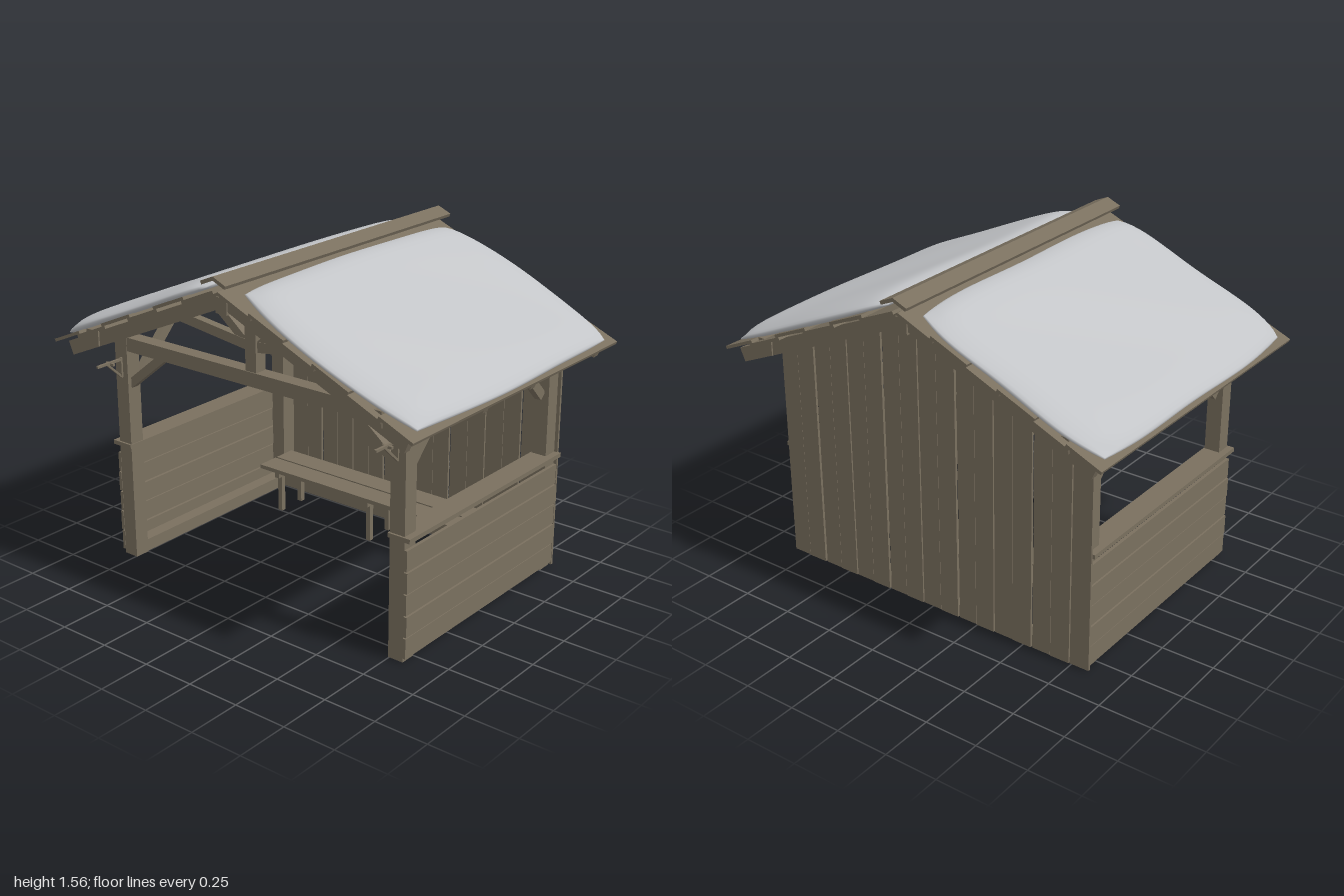
import * as THREE from 'three';
import { mergeVertices } from 'three/addons/utils/BufferGeometryUtils.js';

const mat = (name, color) => {
  const m = new THREE.MeshStandardMaterial({ color });
  m.name = name;
  return m;
};

export function createModel() {
  const wood = mat('weathered wood', 0x7a705f);
  const snow = mat('snow', 0xc3c5c8);
  const model = new THREE.Group();
  const sides = [-1, 1];
  const PITCH = 0.406, RIDGE = 1.515, SLOPE = Math.tan(PITCH);

  // box given by its extents on each axis
  const box = (name, [x0, x1], [y0, y1], [z0, z1], parent = model) => {
    const m = new THREE.Mesh(new THREE.BoxGeometry(Math.abs(x1 - x0), y1 - y0, z1 - z0), wood);
    m.position.set((x0 + x1) / 2, (y0 + y1) / 2, (z0 + z1) / 2);
    m.name = name;
    parent.add(m);
    return m;
  };
  // timber running from point a to point b
  const beam = (name, a, b, w, h) => {
    const p = new THREE.Vector3(...a), q = new THREE.Vector3(...b);
    const m = new THREE.Mesh(new THREE.BoxGeometry(w, h, p.distanceTo(q)), wood);
    m.position.copy(p).add(q).multiplyScalar(0.5);
    m.lookAt(q);
    m.name = name;
    model.add(m);
  };

  for (const s of sides) {
    const X = (a, b) => [s * a, s * b];
    // corner posts with braces both ways
    for (const e of sides) {
      const z = e * 0.538;
      box('post', X(0.745, 0.82), [0, 1.1], [z - 0.0375, z + 0.0375]);
      beam('sideBrace', [s * 0.78, 0.865, e * 0.49], [s * 0.78, 1.1, e * 0.26], 0.035, 0.045);
      beam('crossBrace', [s * 0.755, 0.865, z], [s * 0.53, 1.045, z], 0.035, 0.04);
    }
    // eaves beam, sill, handrail and side planks
    box('wallPlate', X(0.745, 0.82), [1.095, 1.165], [-0.74, 0.74]);
    box('sideSill', X(0.75, 0.815), [0, 0.06], [-0.55, 0.55]);
    box('handrail', X(0.74, 0.852), [0.556, 0.576], [-0.58, 0.585]);
    for (let i = 0; i < 5; i++) {
      const y = 0.02 + i * 0.1005, lean = 0.003 * (i % 2);
      box('sidePlank', X(0.818 + lean, 0.834 + lean), [y, y + 0.094], [-0.577, 0.577]);
    }
    // small bracket on the front post
    box('bracketArm', X(0.774, 0.786), [0.98, 0.991], [0.57, 0.725]);
    box('bracketPlate', X(0.774, 0.786), [0.9, 0.995], [0.573, 0.585]);
    box('bracketPeg', X(0.755, 0.805), [0.975, 0.987], [0.64, 0.652]);
    beam('bracketBrace', [s * 0.78, 0.9, 0.578], [s * 0.78, 0.982, 0.665], 0.01, 0.01);
  }

  // gable trusses
  for (const e of sides) {
    const z = e * 0.538;
    box('tieBeam', [-0.82, 0.82], [1.03, 1.095], [z - 0.035, z + 0.035]);
    box('kingPost', [-0.03, 0.03], [1.095, 1.46], [z - 0.03, z + 0.03]);
    for (const s of sides) {
      beam('strut', [s * 0.02, 1.205, z], [s * 0.47, 1.262, z], 0.04, 0.045);
      beam('upperStrut', [s * 0.02, 1.2, z], [s * 0.23, 1.37, z], 0.035, 0.04);
    }
  }
  box('ridgeBeam', [-0.03, 0.03], [1.39, 1.46], [-0.74, 0.74]);
  box('backSill', [-0.75, 0.75], [0, 0.06], [-0.575, -0.505]);

  // back wall of upright boards cut to the roof line
  const N = 17, step = 1.68 / N;
  for (let i = 0; i < N; i++) {
    const gap = i % 4 === 2 ? 0.009 : 0.004;
    const x0 = -0.84 + i * step, x1 = x0 + step - gap;
    const top = x => RIDGE - 0.035 - SLOPE * Math.abs(x);
    const pts = [[x0, 0.006], [x1, 0.006], [x1, top(x1)]];
    if (x0 < 0 && x1 > 0) pts.push([0, top(0)]);
    pts.push([x0, top(x0)]);
    const shape = new THREE.Shape(pts.map(p => new THREE.Vector2(...p)));
    const board = new THREE.Mesh(
      new THREE.ExtrudeGeometry(shape, { depth: 0.012, bevelEnabled: false }), wood);
    board.position.z = -0.587 - (i % 2) * 0.003;
    board.name = 'backBoard';
    model.add(board);
  }

  // bench
  box('benchSeatFront', [-0.66, 0.655], [0.215, 0.235], [-0.335, -0.22]);
  box('benchSeatBack', [-0.66, 0.655], [0.215, 0.235], [-0.46, -0.345]);
  for (const x of [-0.56, 0, 0.56]) {
    box('benchBearer', [x - 0.0125, x + 0.0125], [0.185, 0.215], [-0.45, -0.23]);
    for (const z of [-0.265, -0.415])
      box('benchLeg', [x - 0.0125, x + 0.0125], [0, 0.19], [z - 0.0125, z + 0.0125]);
  }

  // snow blanket: soft slab with bowed ends, rounded rim and slight unevenness
  const snowGeometry = s => {
    let g = new THREE.BoxGeometry(2, 2, 2, 28, 4, 36);
    g.deleteAttribute('uv');
    g.deleteAttribute('normal');
    g = mergeVertices(g);
    const p = g.attributes.position;
    for (let i = 0; i < p.count; i++) {
      const a = p.getX(i), c = p.getY(i), b = p.getZ(i);
      const rim = 1 - 0.025 * c * c;
      const x = a * rim * (0.495 - 0.022 * b ** 4 + 0.004 * Math.sin(5 * b + s));
      const z = b * rim * (0.765 - 0.055 * a ** 4 + 0.006 * Math.sin(4 * a + 2 * s));
      const thick = 0.058 * (1 - 0.45 * a ** 12) * (1 - 0.45 * b ** 12)
        + 0.003 * Math.sin(3 * a + 4 * b);
      p.setXYZ(i, x, (c + 1) / 2 * thick, z);
    }
    g.computeVertexNormals();
    return g;
  };

  // roof halves, each built flat and tilted about the ridge
  for (const s of sides) {
    const half = new THREE.Group();
    half.name = s > 0 ? 'roofLeft' : 'roofRight';
    half.position.y = RIDGE;
    half.rotation.z = -s * PITCH;
    model.add(half);
    for (let i = 0; i < 6; i++) {
      const d = 0.02 + i * 0.177, y = i % 2 ? -0.012 : -0.026;
      box('roofPlank', [s * d, s * Math.min(d + 0.195, 1.083)], [y, y + 0.014], [-0.775, 0.775], half);
    }
    for (const z of [-0.715, -0.18, 0.18, 0.715])
      box('rafter', [s * 0.01, s * 1.045], [-0.092, -0.026], [z - 0.0175, z + 0.0175], half);
    for (const z of [-0.538, 0.538])
      box('trussRafter', [s * 0.01, s * 0.86], [-0.092, -0.026], [z - 0.0175, z + 0.0175], half);
    const blanket = new THREE.Mesh(snowGeometry(s), snow);
    blanket.position.set(s * 0.575, 0, 0);
    blanket.name = 'snowBlanket';
    half.add(blanket);

    // ridge cap
    const cap = new THREE.Group();
    cap.name = 'ridgeCap';
    cap.position.y = 1.56;
    cap.rotation.z = -s * PITCH;
    box('ridgeCapBoard', [0, s * 0.075], [-0.016, 0], [-0.785, 0.785], cap);
    model.add(cap);
  }
  return model;
}
